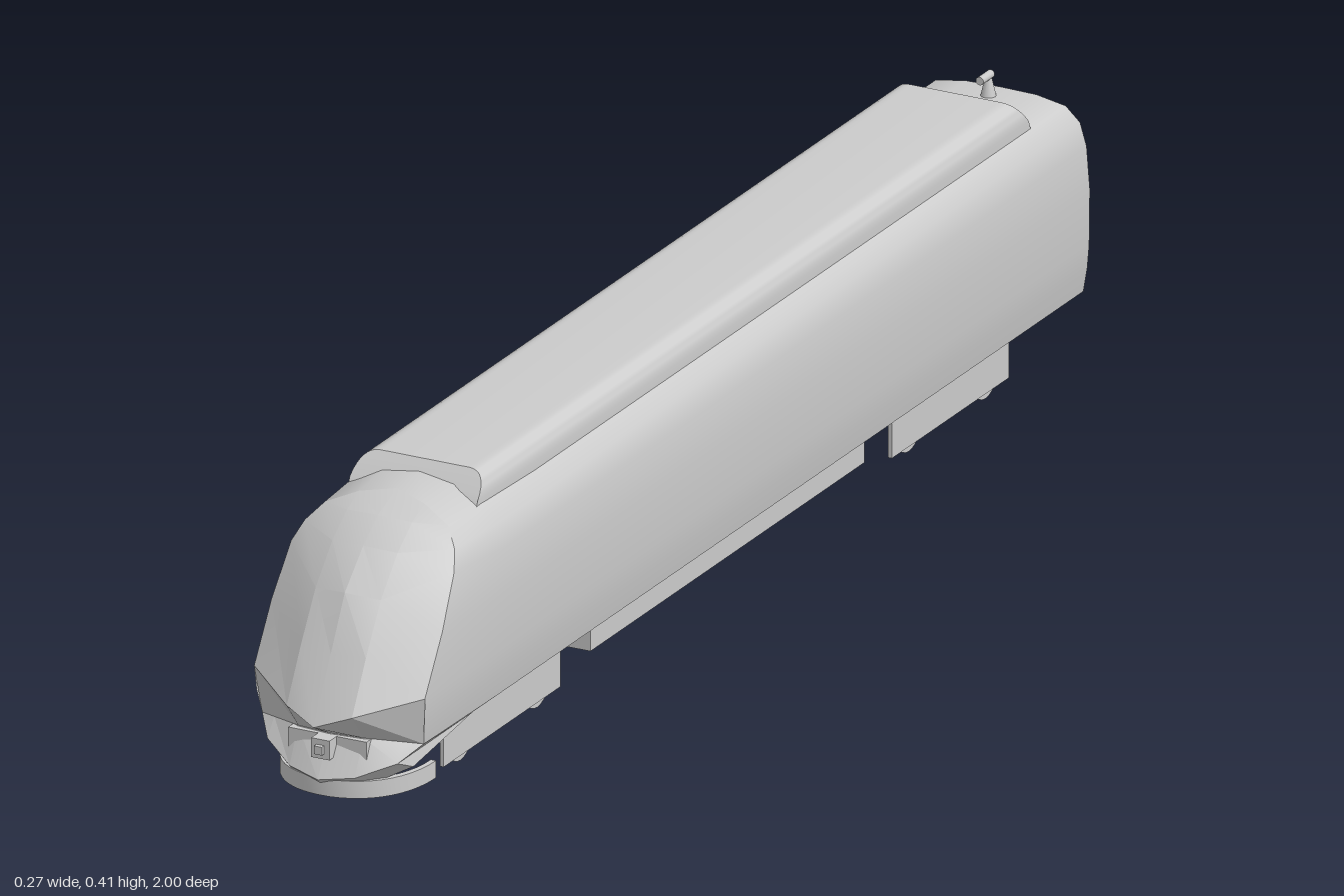
import * as THREE from 'three';
import { toCreasedNormals } from 'three/addons/utils/BufferGeometryUtils.js';

const material = new THREE.MeshStandardMaterial({ color: 0xcccccc, side: THREE.DoubleSide });

function add(parent, name, geometry, x = 0, y = 0, z = 0) {
  const mesh = new THREE.Mesh(geometry, material);
  mesh.name = name;
  mesh.position.set(x, y, z);
  parent.add(mesh);
  return mesh;
}

const box = (w, h, d) => new THREE.BoxGeometry(w, h, d);

// Half rows run from the left side (+x) to the centre line and are mirrored
function loft(halfRows, crease) {
  const rows = halfRows.map(r => [...r, ...r.slice(0, -1).reverse().map(([x, y, z]) => [-x, y, z])]);
  const n = rows[0].length, index = [];
  for (let j = 0; j < rows.length - 1; j++) {
    for (let i = 0; i < n - 1; i++) {
      const a = j * n + i, b = a + n;
      index.push(a, a + 1, b, a + 1, b + 1, b);
    }
  }
  const g = new THREE.BufferGeometry();
  g.setAttribute('position', new THREE.Float32BufferAttribute(rows.flat(2), 3));
  g.setIndex(index);
  return toCreasedNormals(g, crease);
}

// Half cross-section of the car body, floor edge to roof centre
const section = [
  [0.127, 0.10], [0.133, 0.135], [0.136, 0.17], [0.137, 0.25], [0.132, 0.312],
  [0.122, 0.345], [0.10, 0.365], [0.055, 0.373], [0, 0.374],
];
// Cab roof is slightly domed
const cabSection = section.map(([x, y], i) => [x, i < 6 ? y : [0.37, 0.39, 0.397][i - 6]]);
// Edge where the body meets the windscreen and mouth
const cabEdge = [
  [0.124, 0.10, 0.915], [0.129, 0.135, 0.922], [0.131, 0.17, 0.925], [0.131, 0.25, 0.875],
  [0.125, 0.32, 0.83], [0.115, 0.345, 0.81], [0.095, 0.368, 0.79], [0.05, 0.387, 0.775], [0, 0.395, 0.76],
];

function buildBody(g) {
  const at = (s, z) => s.map(([x, y]) => [x, y, z]);
  add(g, 'bodyShell', loft([at(section, -0.97), at(section, 0.55), at(cabSection, 0.70), cabEdge], 0.6));

  const outline = new THREE.Shape([
    ...section.map(([x, y]) => new THREE.Vector2(x, y)),
    ...section.slice(0, -1).reverse().map(([x, y]) => new THREE.Vector2(-x, y)),
  ]);
  add(g, 'rearWall', new THREE.ShapeGeometry(outline), 0, 0, -0.97);
  add(g, 'floor', loft([[[0.127, 0.10, 0.78], [0, 0.10, 0.78]], [[0.127, 0.10, -0.97], [0, 0.10, -0.97]]], 0.1));
}

function buildNose(g) {
  // Rows from the roof down to the lip, ending at the mouth corner
  const lip = [cabEdge[2], [0.05, 0.147, 0.983], [0, 0.13, 1.0]];
  add(g, 'windscreen', loft([
    [cabEdge[7], cabEdge[7], cabEdge[8]],
    [cabEdge[6], [0.05, 0.372, 0.81], [0, 0.375, 0.815]],
    [cabEdge[5], [0.05, 0.342, 0.852], [0, 0.345, 0.857]],
    [cabEdge[4], [0.05, 0.29, 0.90], [0, 0.295, 0.91]],
    [cabEdge[3], [0.05, 0.22, 0.943], [0, 0.22, 0.95]],
    lip,
  ], 0.3));

  const mouth = [cabEdge[0], [0.05, 0.107, 0.95], [0, 0.107, 0.955]];
  add(g, 'upperLip', loft([lip, mouth], 0.1));

  // Lower jaw: sloping top, front rim and underside
  const rim = [cabEdge[0], [0.10, 0.077, 0.945], [0.05, 0.057, 0.975], [0, 0.05, 0.988]];
  const keel = [[0.127, 0.10, 0.78], [0.108, 0.064, 0.915], [0.058, 0.04, 0.95], [0, 0.033, 0.968]];
  add(g, 'jawTop', loft([[mouth[0], [0.10, 0.102, 0.925], mouth[1], mouth[2]], rim], 0.3));
  add(g, 'jawRim', loft([rim, keel], 0.5));
  add(g, 'jawUnderside', loft([keel, [0.127, 0.08, 0.04, 0].map(x => [x, 0.10, 0.78])], 0.3));

  // Coupler on its mounting panel
  add(g, 'couplerPanel', box(0.12, 0.036, 0.02), 0, 0.088, 0.95);
  add(g, 'coupler', box(0.028, 0.028, 0.03), 0, 0.092, 0.965);
  add(g, 'couplerHead', box(0.012, 0.012, 0.008), 0, 0.092, 0.983);

  // Curved plate under the nose
  const s = new THREE.Shape();
  s.moveTo(0.108, -0.85);
  s.bezierCurveTo(0.108, -0.935, 0.06, -0.98, 0, -0.98);
  s.bezierCurveTo(-0.06, -0.98, -0.108, -0.935, -0.108, -0.85);
  s.lineTo(-0.10, -0.85);
  s.bezierCurveTo(-0.10, -0.925, -0.055, -0.97, 0, -0.97);
  s.bezierCurveTo(0.055, -0.97, 0.10, -0.925, 0.10, -0.85);
  const plough = new THREE.ExtrudeGeometry(s, { depth: 0.025, bevelEnabled: false, curveSegments: 12 });
  plough.rotateX(-Math.PI / 2);
  add(g, 'plough', toCreasedNormals(plough, 0.5), 0, 0.025, 0);
}

function buildRoof(g) {
  // Rounded fairing with sloping ends
  const s = new THREE.Shape();
  s.moveTo(-0.098, 0.36);
  s.lineTo(-0.098, 0.378);
  s.quadraticCurveTo(-0.096, 0.41, -0.068, 0.41);
  s.lineTo(0.068, 0.41);
  s.quadraticCurveTo(0.096, 0.41, 0.098, 0.378);
  s.lineTo(0.098, 0.36);
  const fairing = new THREE.ExtrudeGeometry(s, { depth: 1, bevelEnabled: false, curveSegments: 8 });
  const p = fairing.attributes.position;
  for (let i = 0; i < p.count; i++) {
    const t = Math.max(0, (p.getY(i) - 0.37) / 0.04);
    p.setZ(i, p.getZ(i) > 0.5 ? 0.72 - 0.04 * t : -0.875 + 0.035 * t);
  }
  add(g, 'roofFairing', toCreasedNormals(fairing, 0.6));

  // Rear aerial
  add(g, 'aerialStem', new THREE.CylinderGeometry(0.004, 0.011, 0.03, 12), 0, 0.388, -0.935);
  const head = add(g, 'aerialHead', new THREE.CylinderGeometry(0.006, 0.006, 0.032, 12), 0, 0.403, -0.926);
  head.rotation.x = Math.PI / 2;
}

function buildRear(g) {
  add(g, 'gangwayFrame', box(0.112, 0.205, 0.018), 0, 0.228, -0.977);
  add(g, 'gangwayDoor', box(0.104, 0.197, 0.016), 0, 0.228, -0.992);
  for (const side of [1, -1]) add(g, 'rearStrip', box(0.012, 0.20, 0.014), side * 0.116, 0.23, -0.968);
}

function buildBogie(z) {
  const bogie = new THREE.Group();
  bogie.name = 'bogie';
  bogie.position.z = z;
  const wheel = new THREE.CylinderGeometry(0.037, 0.037, 0.006, 24).rotateZ(Math.PI / 2);
  for (const side of [1, -1]) {
    add(bogie, 'sideFrame', box(0.006, 0.09, 0.335), side * 0.079, 0.056, 0);
    add(bogie, 'bracket', box(0.008, 0.012, 0.012), side * 0.084, 0.092, -0.02);
    for (const dz of [0.11, -0.11]) add(bogie, 'wheel', wheel, side * 0.074, 0.037, dz);
  }
  add(bogie, 'pivot', new THREE.CylinderGeometry(0.035, 0.035, 0.02, 24), 0, 0.092, 0);
  return bogie;
}

export function createModel() {
  const train = new THREE.Group();
  train.name = 'railcar';
  buildBody(train);
  buildNose(train);
  buildRoof(train);
  buildRear(train);
  add(train, 'underfloorTank', box(0.17, 0.07, 0.785), 0, 0.07, -0.028);
  train.add(buildBogie(0.612), buildBogie(-0.673));
  return train;
}
